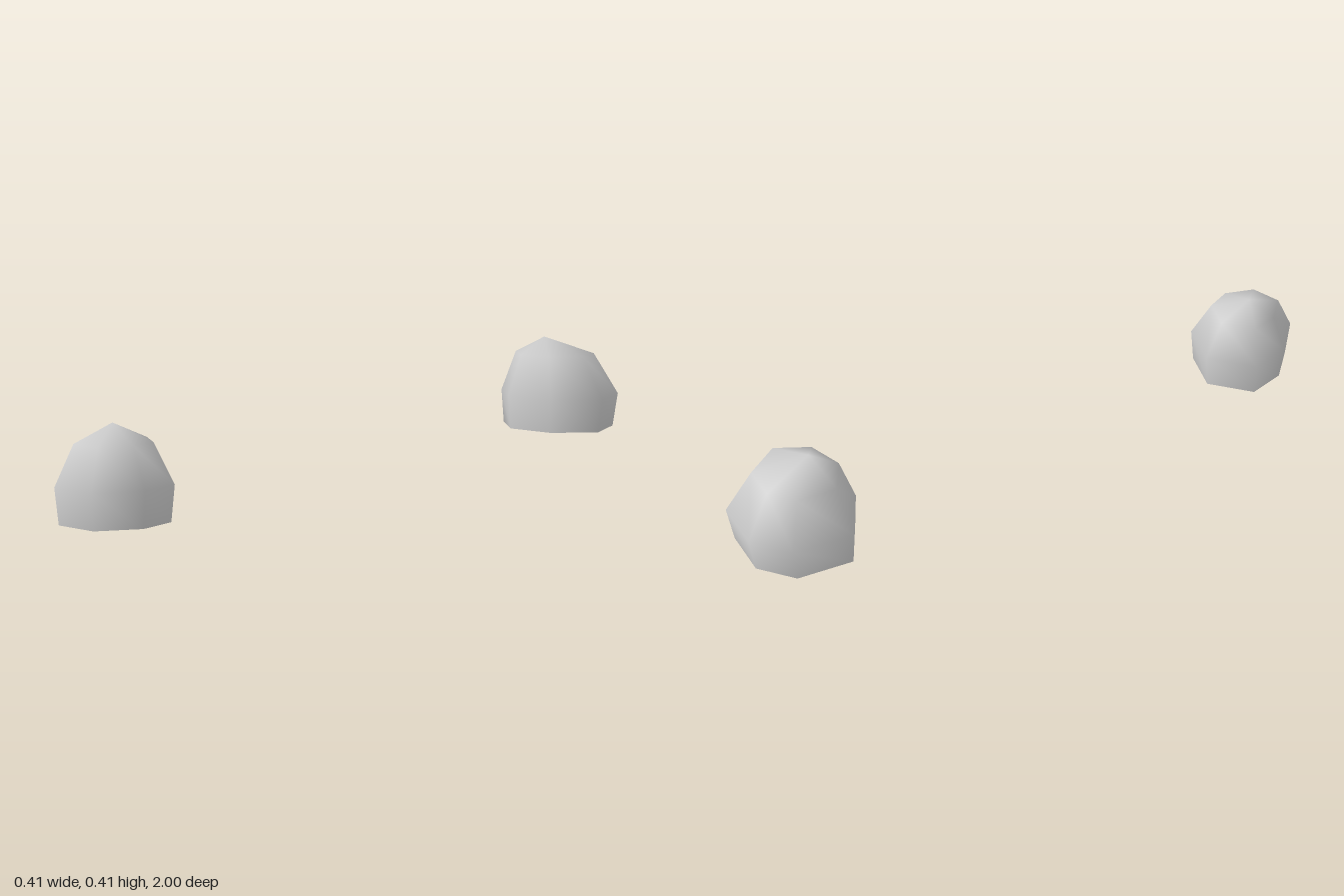
import * as THREE from 'three';

const stone = new THREE.MeshStandardMaterial({ color: 0xcccccc, side: THREE.DoubleSide });
stone.name = 'pale grey stone';

// Open-bottomed boulder: a seven-sided outline scaled towards the peak's axis at each level
function boulder(name, outline, [px, py, pz], levels) {
  const n = outline.length;
  const pos = [], index = [];
  for (const [y, s] of levels) {
    for (const [x, z] of outline) pos.push(px + (x - px) * s, y, pz + (z - pz) * s);
  }
  pos.push(px, py, pz);
  const peak = levels.length * n;
  for (let i = 0; i < n; i++) {
    const j = (i + 1) % n;
    for (let k = 0; k < levels.length - 1; k++) {
      const a = k * n, b = a + n;
      index.push(a + i, b + i, b + j, a + i, b + j, a + j);
    }
    index.push(peak - n + i, peak, peak - n + j);
  }
  const geo = new THREE.BufferGeometry();
  geo.setAttribute('position', new THREE.Float32BufferAttribute(pos, 3));
  geo.setIndex(index);
  geo.computeVertexNormals();
  const mesh = new THREE.Mesh(geo, stone);
  mesh.name = name;
  return mesh;
}

export function createModel() {
  const group = new THREE.Group();
  group.name = 'boulders';

  // Larger, raised boulder at the back
  group.add(boulder('backBoulder',
    [[-0.203, -0.746], [-0.175, -0.92], [-0.067, -1], [0.09, -0.988], [0.183, -0.836], [0.097, -0.698], [-0.061, -0.657]],
    [-0.034, 0.405, -0.78],
    [[0.115, 0.937], [0.22, 1], [0.35, 0.667]]));

  // Smaller boulder on the ground at the front
  group.add(boulder('frontBoulder',
    [[0.016, 0.66], [0.159, 0.71], [0.202, 0.828], [0.15, 0.962], [0.012, 1], [-0.085, 0.892], [-0.11, 0.762]],
    [0.015, 0.268, 0.82],
    [[0, 0.937], [0.105, 1], [0.219, 0.667]]));

  return group;
}
